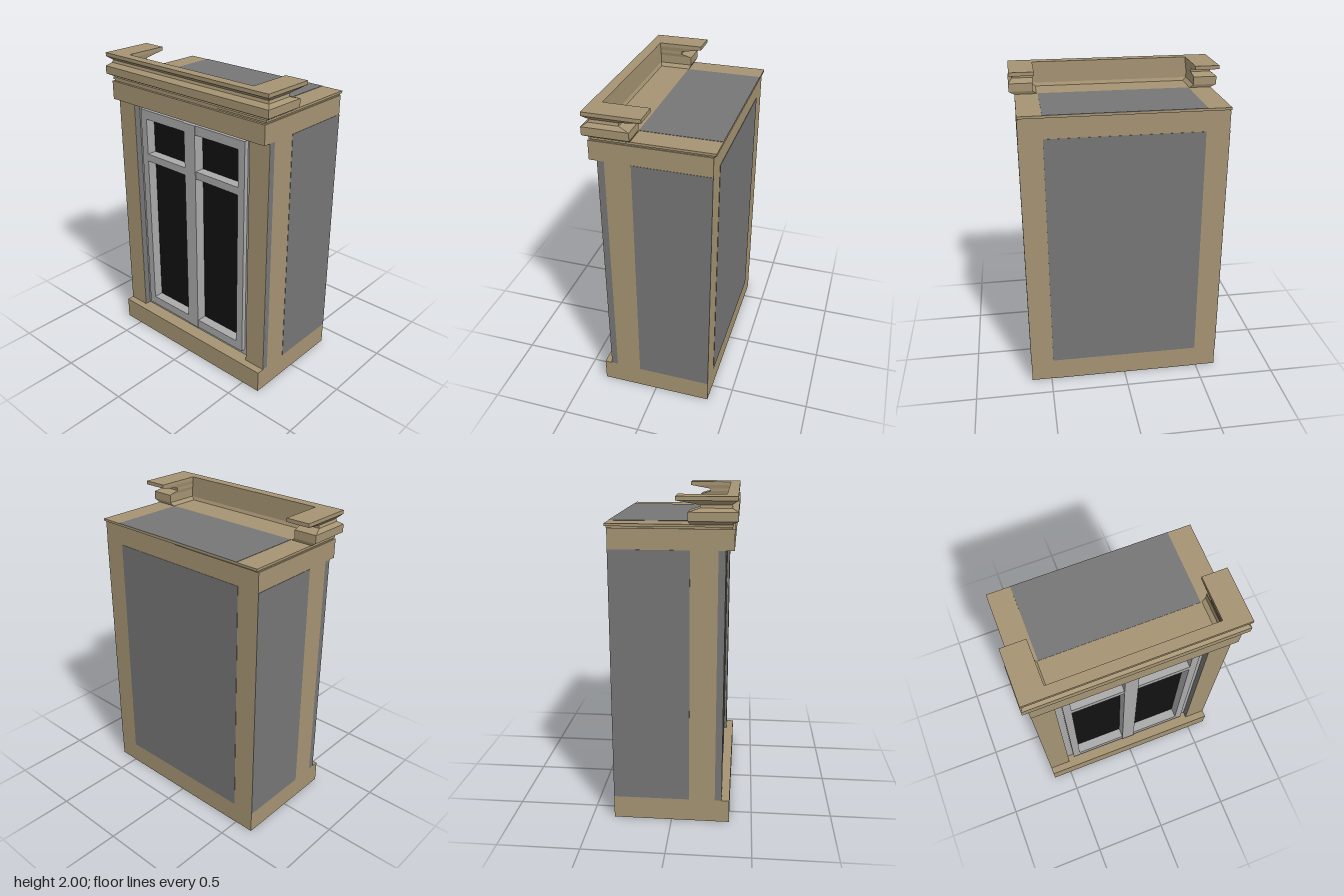
import * as THREE from 'three';

const tan = new THREE.MeshStandardMaterial({ color: 0xa59473 });
const grey = new THREE.MeshStandardMaterial({ color: 0x767676 });
const paint = new THREE.MeshStandardMaterial({ color: 0xaaaaaa });
const glass = new THREE.MeshStandardMaterial({ color: 0x111111 });

// Box given by its limits on each axis
function block(parent, name, mat, [x0, x1], [y0, y1], [z0, z1]) {
  const mesh = new THREE.Mesh(new THREE.BoxGeometry(x1 - x0, y1 - y0, z1 - z0), mat);
  mesh.position.set((x0 + x1) / 2, (y0 + y1) / 2, (z0 + z1) / 2);
  mesh.name = name;
  parent.add(mesh);
  return mesh;
}

// U-shaped moulding lofted through levels: [y, outer x, outer z, return end x, inner z, inner x]
function corniceGeometry(levels) {
  const rings = levels.map(([y, xo, zo, xe, zi, xi]) => [
    [xo, y, zo], [xe, y, zo], [xe, y, zi], [xi, y, zi],
    [xi, y, -zi], [xe, y, -zi], [xe, y, -zo], [xo, y, -zo],
  ]);
  const pos = [];
  const quad = (a, b, c, d) => pos.push(...a, ...b, ...c, ...a, ...c, ...d);
  for (let i = 0; i < rings.length - 1; i++) {
    const lo = rings[i], hi = rings[i + 1];
    for (let j = 0; j < 8; j++) {
      const k = (j + 1) % 8;
      quad(lo[j], lo[k], hi[k], hi[j]);
    }
  }
  // Flat caps: two returns and the long bar
  const strips = [[0, 1, 2, 3], [0, 3, 4, 7], [7, 4, 5, 6]];
  const top = rings[rings.length - 1], bottom = rings[0];
  for (const s of strips) {
    quad(...s.map((i) => top[i]));
    quad(...[...s].reverse().map((i) => bottom[i]));
  }
  const geo = new THREE.BufferGeometry();
  geo.setAttribute('position', new THREE.Float32BufferAttribute(pos, 3));
  geo.computeVertexNormals();
  return geo;
}

export function createModel() {
  const model = new THREE.Group();
  model.name = 'dormerWindow';
  const Z = 0.63, zi = 0.485, yLo = 0.145, yHi = 1.7, e = 0.002;

  // Main body, sill and header
  const body = new THREE.Group();
  body.name = 'body';
  model.add(body);
  block(body, 'core', tan, [-0.2, 0.36], [0, 1.82], [-Z, Z]);
  block(body, 'sill', tan, [-0.36, -0.2], [0, yLo], [-Z, Z]);
  block(body, 'header', tan, [-0.36, -0.2], [yHi, 1.82], [-Z, Z]);
  block(body, 'roofEdge', tan, [-0.345, 0.365], [1.82, 1.83], [-0.622, 0.622]);
  block(body, 'roofSlab', tan, [-0.35, 0.375], [1.83, 1.845], [-Z, Z]);

  // Posts beside the window, grey-sided towards the outer face
  for (const s of [-1, 1]) {
    const zs = s > 0 ? [zi, Z] : [-Z, -zi];
    block(body, 'post', tan, [-0.27, -0.2], [yLo, yHi], zs);
    block(body, 'postEdge', grey, [-0.309, -0.27], [yLo, yHi], zs);
    block(body, 'postFace', tan, [-0.312, -0.309], [yLo, yHi], zs);
  }

  // Flush grey panels on sides, rear, roof and underside
  const panels = new THREE.Group();
  panels.name = 'panels';
  model.add(panels);
  for (const s of [-1, 1]) {
    block(panels, 'sidePanel', grey, [-0.11, 0.36], [yLo, yHi], [s * Z - e, s * Z + e]);
  }
  block(panels, 'rearPanel', grey, [0.36 - e, 0.36 + e], [yLo, yHi], [-zi, zi]);
  block(panels, 'roofPanel', grey, [-0.11, 0.375], [1.845 - e, 1.845 + e], [-zi, zi]);
  block(panels, 'basePanel', grey, [-0.11, 0.36], [-e, e], [-zi, zi]);
  block(panels, 'baseStrip', grey, [-0.31, -0.27], [-e, e], [-zi, zi]);

  // Window: glass, outer frame, sash, mullion and transom
  const win = new THREE.Group();
  win.name = 'window';
  model.add(win);
  block(win, 'glass', glass, [-0.235, -0.2], [yLo, yHi], [-zi, zi]);
  const ring = (name, xs, zOut, zIn, y0, y1, h) => {
    block(win, name + 'Bottom', paint, xs, [y0, y0 + h], [-zOut, zOut]);
    block(win, name + 'Top', paint, xs, [y1 - h, y1], [-zOut, zOut]);
    for (const zs of [[zIn, zOut], [-zOut, -zIn]]) {
      block(win, name + 'Side', paint, xs, [y0 + h, y1 - h], zs);
    }
  };
  ring('frame', [-0.27, -0.2], zi, 0.43, yLo, yHi, 0.045);
  ring('sash', [-0.3, -0.22], 0.44, 0.39, 0.185, 1.66, 0.06);
  block(win, 'mullion', paint, [-0.305, -0.22], [0.185, 1.66], [-0.045, 0.045]);
  block(win, 'transom', paint, [-0.3, -0.22], [1.31, 1.36], [-0.39, 0.39]);

  // Cornice crowning the window side, with a return at each end
  const cornice = new THREE.Mesh(corniceGeometry([
    [1.843, -0.335, 0.63, -0.11, 0.49, -0.3],
    [1.865, -0.378, 0.665, -0.1, 0.515, -0.31],
    [1.915, -0.378, 0.665, -0.1, 0.515, -0.31],
    [1.935, -0.345, 0.64, -0.165, 0.51, -0.31],
    [1.952, -0.34, 0.635, -0.165, 0.51, -0.31],
    [1.977, -0.375, 0.66, -0.03, 0.505, -0.31],
    [2.0, -0.375, 0.66, -0.03, 0.505, -0.31],
  ]), tan);
  cornice.name = 'cornice';
  model.add(cornice);
  return model;
}
